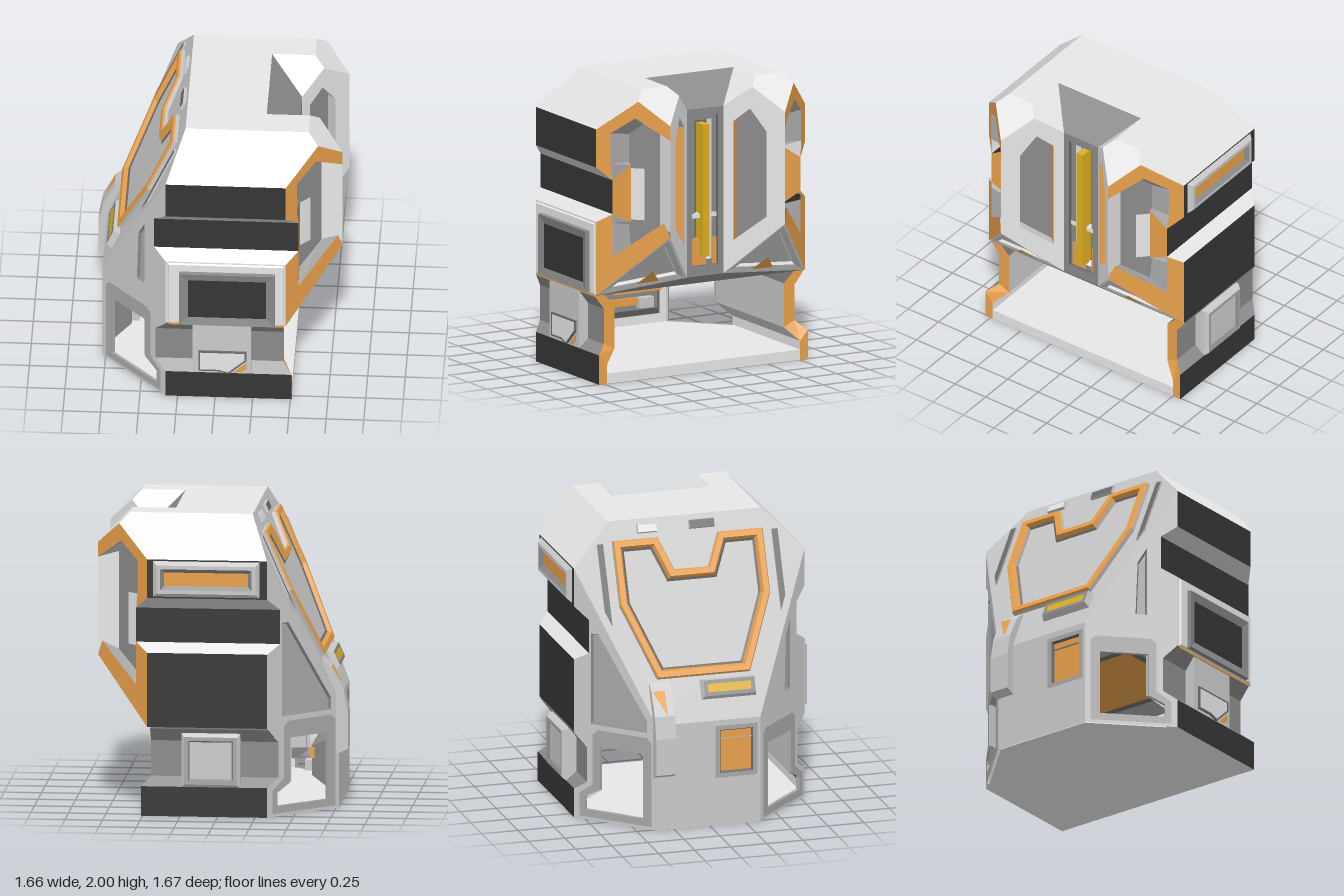
import * as THREE from 'three';

const V = (p) => new THREE.Vector3(...p);
const CENTRE = new THREE.Vector3(0, 1.1, 0);

export function createModel() {
  const group = new THREE.Group();
  const body = new THREE.Group();
  body.name = 'kioskBody';
  body.position.z = -0.01;
  group.add(body);

  const paint = (name, color) => {
    const m = new THREE.MeshStandardMaterial({ color, side: THREE.DoubleSide });
    m.name = name;
    return m;
  };
  const light = paint('light grey', 0xe6e6e6), grey = paint('grey', 0xcacaca), steel = paint('steel grey', 0xa8a8a8);
  const mid = paint('mid grey', 0x8a8a8a), dark = paint('dark grey', 0x6c6c6c), black = paint('black', 0x353535);
  const orange = paint('orange', 0xe8a04a), yellow = paint('yellow', 0xdcb020);

  // Triangles are collected per part and colour, then turned into meshes
  const parts = new Map();
  let part = '';
  const tri = (mat, a, b, c) => {
    const key = part + '|' + mat.name;
    if (!parts.has(key)) parts.set(key, { name: part, mat, pos: [] });
    for (const p of [a, b, c]) parts.get(key).pos.push(p.x, p.y, p.z);
  };
  const normalOf = (pts) => {
    const n = new THREE.Vector3();
    pts.forEach((p, i) => n.add(p.clone().cross(pts[(i + 1) % pts.length])));
    return n.normalize();
  };
  // Points as vectors, ordered so that the polygon faces away from the centre
  const outward = (list) => {
    const pts = list.map((p) => (p.isVector3 ? p : V(p)));
    const mean = pts.reduce((s, p) => s.add(p), new THREE.Vector3()).divideScalar(pts.length);
    return normalOf(pts).dot(mean.sub(CENTRE)) < 0 ? pts.reverse() : pts;
  };
  // Flat polygon, optionally with holes
  const face = (mat, list, holes = []) => {
    const pts = outward(list), n = normalOf(pts);
    const u = pts[1].clone().sub(pts[0]).normalize(), v = n.clone().cross(u);
    const flat = (p) => new THREE.Vector2(p.dot(u), p.dot(v));
    const hs = holes.map((h) => h.map(V));
    const all = [...pts, ...hs.flat()];
    for (const [a, b, c] of THREE.ShapeUtils.triangulateShape(pts.map(flat), hs.map((h) => h.map(flat)))) {
      const ok = normalOf([all[a], all[b], all[c]]).dot(n) > 0;
      tri(mat, all[a], all[ok ? b : c], all[ok ? c : b]);
    }
  };
  // Quads joining two rows of points
  const strip = (mat, a, b, closed = true) => {
    for (let i = 0; i < a.length - (closed ? 0 : 1); i++) {
      const j = (i + 1) % a.length;
      tri(mat, a[i], a[j], b[j]);
      tri(mat, a[i], b[j], b[i]);
    }
  };
  // Stepped panel: each step is [inset, height, material], closed with a cap
  const panel = (list, steps, cap) => {
    const pts = outward(list), n = normalOf(pts), N = pts.length;
    let ring = pts;
    for (const [d, h, mat] of steps) {
      const next = pts.map((p, i) => {
        const m1 = n.clone().cross(p.clone().sub(pts[(i + N - 1) % N]).normalize());
        const m2 = n.clone().cross(pts[(i + 1) % N].clone().sub(p).normalize());
        const k = d / (1 + m1.dot(m2));
        return p.clone().addScaledVector(m1.add(m2), k).addScaledVector(n, h);
      });
      strip(mat, ring, next);
      ring = next;
    }
    face(cap, ring);
  };
  const box = (name, mat, x0, x1, y0, y1, z0, z1) => {
    const m = new THREE.Mesh(new THREE.BoxGeometry(x1 - x0, y1 - y0, z1 - z0), mat);
    m.position.set((x0 + x1) / 2, (y0 + y1) / 2, (z0 + z1) / 2);
    m.name = name;
    body.add(m);
  };
  const both = (list) => [...list, ...list.map(([x, y, z]) => [x, y, -z]).reverse()];
  const rect = (x0, x1, y0, y1, z) => [[x0, y0, z], [x1, y0, z], [x1, y1, z], [x0, y1, z]];
  const slope = ([x, z]) => [x, 2 - (-0.21 - x) / 0.44, z];

  // Roof, notch and centre post
  part = 'roof';
  face(light, both([[-0.21, 2, 0.53], [0.61, 2, 0.53], [0.61, 2, 0.34], [0.32, 2, 0.34]]));
  part = 'notch';
  face(mid, both([[0.32, 2, 0.34], [0.53, 1.8, 0.14]]));
  part = 'centrePost';
  const slot = both([[0.53, 0.73, 0.1], [0.53, 1.75, 0.1]]);
  face(mid, both([[0.53, 0.66, 0.14], [0.53, 1.8, 0.14]]), [slot]);
  panel(slot, [[0, -0.03, dark], [0.035, -0.03, mid], [0.045, -0.08, light]], dark);
  box('lightBar', yellow, 0.45, 0.545, 0.79, 1.69, -0.025, 0.025);
  box('slotFoot', orange, 0.46, 0.505, 0.73, 0.91, 0.03, 0.09);
  box('slotFoot', orange, 0.46, 0.505, 0.73, 0.79, -0.02, 0.03);
  box('slotFoot', orange, 0.46, 0.505, 0.73, 0.91, -0.1, -0.07);
  box('slotBridge', light, 0.46, 0.505, 1.05, 1.08, -0.1, 0.1);

  // Both halves, mirrored front to back
  for (const s of [1, -1]) {
    const mz = (list) => list.map(([x, y, z]) => [x, y, z * s]);
    const outer = (list) => mz(list.map(([x, y]) => [x, y, 1.27 - x]));
    const inner = (list) => mz(list.map(([z, y]) => [0.39 + z, y, z]));
    const corner = (list, out = 0) => mz(list.map(([x, y]) => [x - out, y, 1.13 + x + out]));

    part = 'roofEdge';
    face(light, mz([[-0.21, 2, 0.53], [0.61, 2, 0.53], [0.675, 1.935, 0.595], [0.47, 1.73, 0.8], [-0.33, 1.73, 0.8]]));
    face(light, mz([[0.61, 2, 0.53], [0.61, 2, 0.34], [0.67, 1.94, 0.28], [0.83, 1.78, 0.44], [0.675, 1.935, 0.595]]));
    face(light, mz([[0.61, 2, 0.34], [0.67, 1.94, 0.28], [0.53, 1.8, 0.14], [0.32, 2, 0.34]]));

    // Banded wall: profile rows of [z, y, colour of the band below]
    part = 'bandedWall';
    const rows = [[0.8, 1.73, black], [0.8, 1.47, grey], [0.72, 1.39, black], [0.72, 1.16, light],
      [0.8, 1.1, s > 0 ? light : black], [0.8, 0.6]];
    rows.slice(1).forEach(([z, y], i) => {
      const [z0, y0, mat] = rows[i];
      face(mat, mz([[z0 - 1.13, y0, z0], [1.27 - z0, y0, z0], [1.27 - z, y, z], [z - 1.13, y, z]]));
    });

    // Orange bracket around the wing recess
    part = 'wingBracket';
    face(orange, outer([[0.47, 1.73], [0.675, 1.935], [0.83, 1.78], [0.83, 1.68], [0.66, 1.82], [0.54, 1.71],
      [0.54, 1.5], [0.55, 1.39], [0.47, 1.47]]));
    face(orange, outer([[0.47, 1.1], [0.55, 1.16], [0.55, 1.1], [0.55, 0.87], [0.8, 1.12], [0.83, 1.02], [0.47, 0.6]]));
    face(orange, mz([[0.55, 1.39, 0.72], [0.55, 1.48, 0.58], [0.55, 1.09, 0.58], [0.55, 1.16, 0.72]]));
    part = 'wingRecess';
    const rim = [[0.83, 1.68, 0.44], [0.66, 1.82, 0.61], [0.54, 1.71, 0.73], [0.54, 1.5, 0.73], [0.55, 1.48, 0.58],
      [0.55, 1.09, 0.58], [0.54, 1.1, 0.73], [0.55, 0.87, 0.72], [0.8, 1.12, 0.47]];
    const floor = [[0.69, 1.72], [0.65, 1.8], [0.54, 1.69], [0.54, 1.5], [0.55, 1.48], [0.55, 1.09], [0.54, 1.08],
      [0.55, 0.93], [0.69, 1.06]].map(([x, y]) => [x, y, 1.13 - x]);
    strip(steel, mz(rim).map(V), mz(floor).map(V), false);
    face(mid, mz(floor));
    face(light, mz([rim[0], floor[0], floor[8], [0.83, 1.06, 0.44]]));
    face(light, mz([[0.555, 1.46, 0.583], [0.555, 1.11, 0.583], [0.62, 1.11, 0.518], [0.62, 1.46, 0.518]]));

    // Inner wing face with its long window
    part = 'wingInnerFace';
    const win = [[0.35, 1.64], [0.27, 1.79], [0.19, 1.7], [0.19, 0.89], [0.35, 1.06]];
    face(light, inner([[0.44, 1.78], [0.28, 1.94], [0.14, 1.8], [0.14, 0.66], [0.44, 1.02]]), [inner(win)]);
    const deep = inner(win).map(([x, y, z]) => [x - 0.05, y, z + 0.05 * s]);
    part = 'wingWindow';
    inner(win).forEach((p, i, a) => {
      const j = (i + 1) % 5;
      strip(i === 2 ? orange : grey, [V(p), V(a[j])], [V(deep[i]), V(deep[j])], false);
    });
    face(mid, deep);

    // Triangular underside of the wing
    part = 'wingUnderside';
    const A = V([0.47, 0.6, 0.8 * s]), T = V([0.83, 1.02, 0.44 * s]), C = V([0.53, 0.66, 0.14 * s]);
    panel([A, T, C], [[0.015, 0, light], [0.05, -0.01, grey], [0.06, -0.03, light]], grey);
    const at = (a, t) => A.clone().multiplyScalar(a).addScaledVector(T, t).addScaledVector(C, 1 - a - t);
    face(orange, [at(0.317, 0.303), at(0.54, 0.09), at(0.3, 0.06)]);

    // Chamfered corner wall with an open, framed window near the floor
    part = 'cornerWall';
    const opening = [[-0.7, 0.52], [-0.47, 0.52], [-0.47, 0.22], [-0.39, 0.16], [-0.39, 0.07], [-0.7, 0.07]];
    const inset = s > 0 ? [[-0.52, 1.19], [-0.475, 1.3], [-0.475, 0.81], [-0.53, 0.81]]
      : [[-0.42, 1.3], [-0.46, 1.3], [-0.72, 0.75], [-0.72, 0.67], [-0.42, 0.67]];
    face(grey, corner([[-0.33, 1.73], [-0.33, 1.47], [-0.41, 1.39], [-0.41, 1.16], [-0.33, 1.1], [-0.33, 0.6],
      [-0.4, 0.5], [-0.4, 0.26], [-0.33, 0.2], [-0.33, 0], [-0.77, 0], [-0.77, 0.73]]), [corner(opening), corner(inset)]);
    panel(corner(inset), [[0.01, -0.02, mid]], steel);
    part = 'cornerWindowFrame';
    face(steel, corner([[-0.745, 0.02], [-0.745, 0.6], [-0.72, 0.635], [-0.46, 0.635], [-0.43, 0.6], [-0.43, 0.25],
      [-0.36, 0.18], [-0.36, 0.02]], 0.003), [corner(opening, 0.003)]);
    strip(steel, corner(opening, 0.003).map(V), corner(opening, -0.015).map(V));

    // Lower wall: closed section [z, y, end x, colour], orange at its open end
    part = 'lowerWall';
    const sec = [[0.8, 0, 0.51, black], [0.8, 0.2, 0.51, mid], [0.73, 0.26, 0.45, mid], [0.73, 0.5, 0.45, mid], [0.8, 0.59, 0.45, dark],
      [0.73, 0.6, 0.45, dark], [0.65, 0.52, 0.45, grey], [0.65, 0.22, 0.45, grey], [0.74, 0.13, 0.51, light], [0.74, 0, 0.51, light]];
    sec.forEach(([z, y, x, mat], i) => {
      const [z2, y2, x2] = sec[(i + 1) % sec.length];
      face(mat, mz([[z - 1.13, y, z], [x, y, z], [x2, y2, z2], [z2 - 1.13, y2, z2]]));
    });
    const end = sec.map(([z, y, x]) => V([x, y, z * s]));
    for (const q of [[0, 1, 8, 9], [1, 2, 7, 8], [2, 3, 6, 7], [3, 4, 5, 6]]) face(orange, q.map((i) => end[i]));

    // Thin dark strip beside the sloped hatch
    part = 'slopeStrip';
    panel(mz([[-0.27, 0.585], [-0.27, 0.625], [-0.45, 0.625], [-0.49, 0.585]].map(slope)), [[0, 0.015, grey]], dark);
  }

  // Underside band, ceiling with its orange panel, and floor
  part = 'ceiling';
  face(mid, both([[0.47, 0.6, 0.8], [0.53, 0.66, 0.14]]));
  face(steel, both([[0.47, 0.6, 0.8], [-0.33, 0.6, 0.8], [-0.77, 0.6, 0.36]]));
  panel(both([[0.25, 0.6, 0.52], [-0.5, 0.6, 0.52]]), [[0, 0.01, dark], [0.05, 0.01, dark]], orange);
  part = 'floor';
  const slab = both([[0.508, 0.07, 0.79], [-0.32, 0.07, 0.79], [-0.76, 0.07, 0.35]]);
  panel(slab, [[0, 0.07, light]], light);
  face(light, slab);

  // Sloped side with the orange-rimmed hatch
  part = 'slopedSide';
  face(grey, both([[-0.21, 2, 0.53], [-0.33, 1.73, 0.8], [-0.77, 0.73, 0.36]]));
  const port = [[-0.77, 0.33, 0.05], [-0.77, 0.33, 0.34], [-0.77, 0.69, 0.34], [-0.77, 0.69, 0.05]];
  face(grey, both([[-0.77, 0, 0.36], [-0.77, 0.73, 0.36]]), [port]);
  part = 'hatch';
  panel(both([[-0.355, 0.12], [-0.265, 0.21], [-0.265, 0.52], [-0.44, 0.52], [-0.645, 0.32]].map(slope)),
    [[0, 0.025, grey], [0.008, 0.038, orange], [0.045, 0.038, orange], [0.06, 0.012, orange], [0.075, 0.003, dark]], grey);
  part = 'topEdgePlate';
  panel([[-0.225, 0.02], [-0.225, 0.2], [-0.25, 0.2], [-0.25, 0.02]].map(slope), [[0.005, 0.02, grey]], dark);
  panel([[-0.225, -0.34], [-0.225, -0.2], [-0.25, -0.2], [-0.25, -0.34]].map(slope), [[0.005, 0.02, grey]], light);
  part = 'yellowLamp';
  panel([[-0.655, -0.03], [-0.655, 0.35], [-0.71, 0.35], [-0.71, -0.03]].map(slope), [[0.015, 0.045, grey], [0.04, 0.045, mid]], yellow);
  part = 'sidePort';
  panel(port, [[0.03, 0, steel], [0.04, -0.02, dark]], orange);
  part = 'sideRib';
  const rib = [[-0.7, 0.37], [-0.77, 0.37], [-0.83, 0.4], [-0.83, 0.65], [-0.8, 0.8], [-0.72, 0.95], [-0.66, 1]]
    .map(([x, y]) => [x, y, -0.24]);
  panel(rib, [[0, 0.14, grey]], grey);
  face(grey, rib);
  face(orange, [[-0.803, 0.8, -0.29], [-0.723, 0.955, -0.375], [-0.723, 0.955, -0.29]]);

  // Inner end wall with its machine block
  box('endWall', light, -0.715, -0.7, 0.07, 0.6, -0.41, 0.41);
  part = 'machineBlock';
  const block = [[0.36, 0.13, 0.46, -0.7], [0.27, 0.2, 0.4, -0.58]].map(([z, y0, y1, x]) =>
    [[x, y0, z], [x, y1, z], [x, y1, -z], [x, y0, -z]].map(V));
  strip(mid, block[0], block[1]);
  face(mid, block[1]);
  box('machineTray', orange, -0.6, -0.57, 0.32, 0.39, -0.3, 0.07);
  box('machineTray', orange, -0.6, -0.56, 0.24, 0.29, -0.11, 0.17);
  box('machineFoot', grey, -0.6, -0.53, 0.22, 0.29, 0.17, 0.27);
  box('machineFoot', grey, -0.6, -0.53, 0.22, 0.29, -0.22, -0.11);

  // Front display in its light frame, with an orange line below
  part = 'frontDisplay';
  panel(rect(-0.315, 0.46, 0.605, 1.09, 0.801), [[0.008, 0.011, light]], light);
  face(orange, rect(-0.31, 0.46, 0.588, 0.604, 0.803));
  panel(rect(-0.24, 0.4, 0.61, 1.03, 0.812), [[0.004, 0.028, mid], [0.06, 0.014, mid]], black);

  // Front lower box with its small plate
  box('frontBox', grey, -0.15, 0.24, 0.2, 0.585, 0.7, 0.8);
  part = 'frontPlate';
  panel([[-0.11, 0.22, 0.8], [0.02, 0.22, 0.8], [0.09, 0.2, 0.8], [0.21, 0.31, 0.8], [0.21, 0.38, 0.8], [-0.11, 0.38, 0.8]],
    [[0, 0.012, dark], [0.012, 0.012, dark]], light);
  face(orange, [[0.12, 0.21, 0.805], [0.21, 0.29, 0.805], [0.21, 0.24, 0.805], [0.17, 0.21, 0.805]]);

  // Back vent and back lower box
  part = 'backVent';
  panel(rect(-0.28, 0.43, 1.48, 1.72, -0.8), [[0.025, 0.03, grey], [0.05, 0.03, grey], [0.075, 0.005, mid]], orange);
  part = 'backBox';
  box('backBox', grey, -0.15, 0.24, 0.2, 0.56, -0.8, -0.7);
  panel(rect(-0.15, 0.24, 0.2, 0.56, -0.8), [[0.02, 0.025, grey], [0.045, 0.025, steel], [0.055, 0.012, mid]], grey);

  for (const { name, mat, pos } of parts.values()) {
    const g = new THREE.BufferGeometry();
    g.setAttribute('position', new THREE.Float32BufferAttribute(pos, 3));
    g.computeVertexNormals();
    const mesh = new THREE.Mesh(g, mat);
    mesh.name = name;
    body.add(mesh);
  }
  return group;
}
